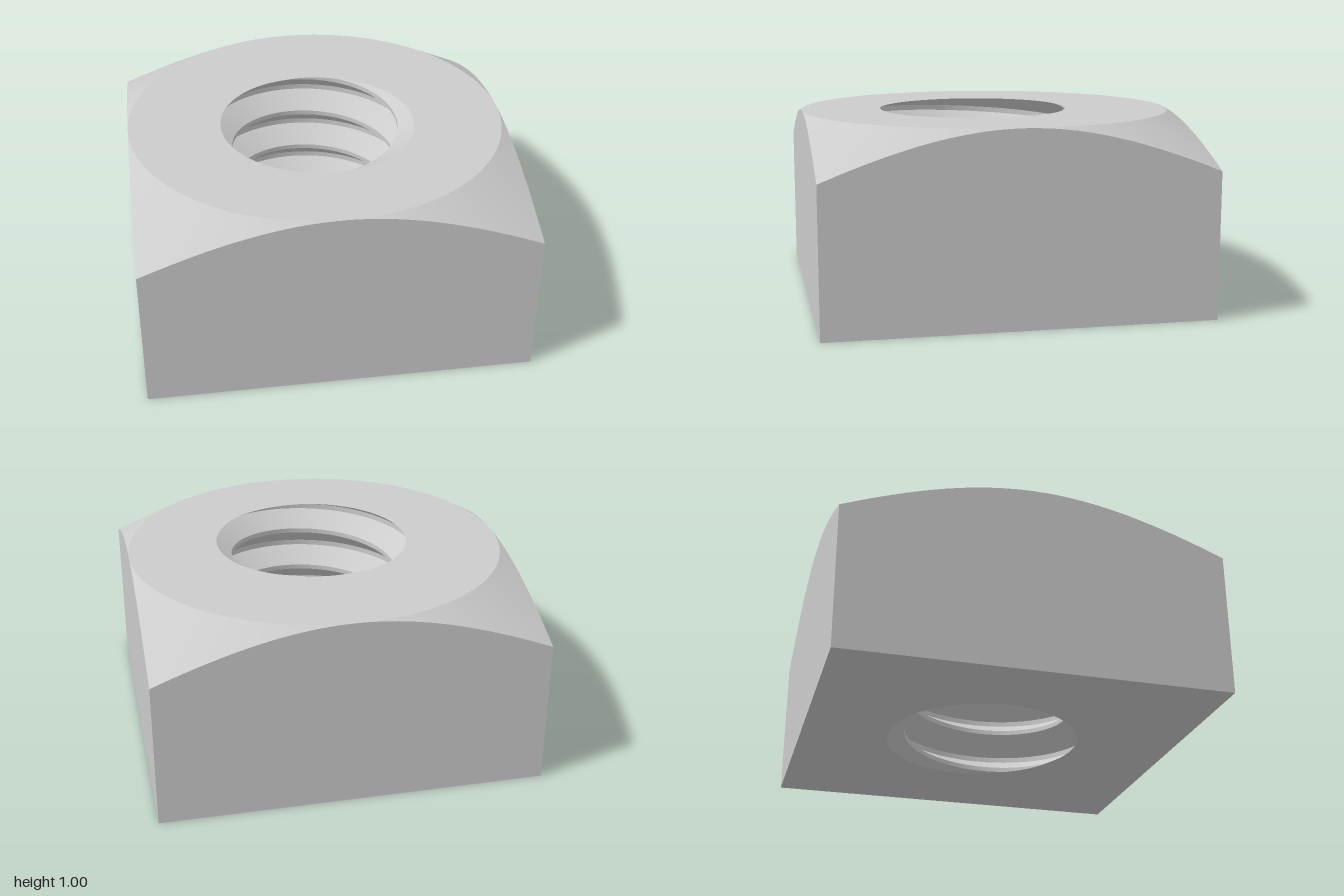
import * as THREE from 'three';
import { toCreasedNormals } from 'three/addons/utils/BufferGeometryUtils.js';

const SEG = 128;                       // steps round the axis (multiple of 8 hits the corners)
const MINOR = 0.448, MAJOR = 0.574;    // thread radii
const PITCH = 0.2286;
const START = THREE.MathUtils.degToRad(105);
const BREAKS = [0, 0.43, 0.555, 0.89]; // under flank, root, upper flank, crest
const CHAMFER = Math.tan(Math.PI / 6);

// radius of the right-hand thread at an angle and height
function threadRadius(angle, y) {
  let p = (angle - START) / (2 * Math.PI) - (y - 1) / PITCH;
  p -= Math.floor(p);
  let depth = 0;
  if (p < BREAKS[1]) depth = p / BREAKS[1];
  else if (p < BREAKS[2]) depth = 1;
  else if (p < BREAKS[3]) depth = (BREAKS[3] - p) / (BREAKS[3] - BREAKS[2]);
  return MINOR + (MAJOR - MINOR) * depth;
}

// skin a row of [radius, y] points that varies with the angle
function sweep(name, section) {
  const positions = [], index = [];
  let rows = 0;
  for (let i = 0; i <= SEG; i++) {
    const a = (i / SEG) * 2 * Math.PI;
    const points = section(a);
    rows = points.length;
    for (const [r, y] of points) positions.push(r * Math.cos(a), y, -r * Math.sin(a));
  }
  const corner = (k) => new THREE.Vector3().fromArray(positions, k * 3);
  const addFace = (a, b, c) => {
    const area = new THREE.Triangle(corner(a), corner(b), corner(c)).getArea();
    if (area > 1e-8) index.push(a, b, c);
  };
  for (let i = 0; i < SEG; i++) {
    for (let j = 0; j < rows - 1; j++) {
      const a = i * rows + j, d = a + rows;
      addFace(a, a + 1, d + 1);
      addFace(a, d + 1, d);
    }
  }
  const geometry = new THREE.BufferGeometry();
  geometry.setAttribute('position', new THREE.Float32BufferAttribute(positions, 3));
  geometry.setIndex(index);
  const material = new THREE.MeshStandardMaterial({ color: 0xcccccc });
  const mesh = new THREE.Mesh(toCreasedNormals(geometry, 0.4), material);
  mesh.name = name;
  return mesh;
}

// flat top, conical chamfer, square sides and flat base
function bodySection(a) {
  const edge = 1 / Math.max(Math.abs(Math.cos(a)), Math.abs(Math.sin(a)));
  return [
    [threadRadius(a, 1), 1],
    [1, 1],
    [edge, 1 - CHAMFER * (edge - 1)],
    [edge, 0],
    [threadRadius(a, 0), 0],
  ];
}

// rows follow the helix and are cut off at the base and the top
function threadSection(a) {
  const points = [];
  for (let n = 6; n >= -1; n--) {
    for (let k = BREAKS.length - 1; k >= 0; k--) {
      const helixY = 1 + PITCH * ((a - START) / (2 * Math.PI) - n - BREAKS[k]);
      const y = THREE.MathUtils.clamp(helixY, 0, 1);
      points.push([threadRadius(a, y), y]);
    }
  }
  return points;
}

export function createModel() {
  const nut = new THREE.Group();
  nut.name = 'squareNut';
  nut.add(sweep('nutBody', bodySection), sweep('threadedBore', threadSection));
  return nut;
}
